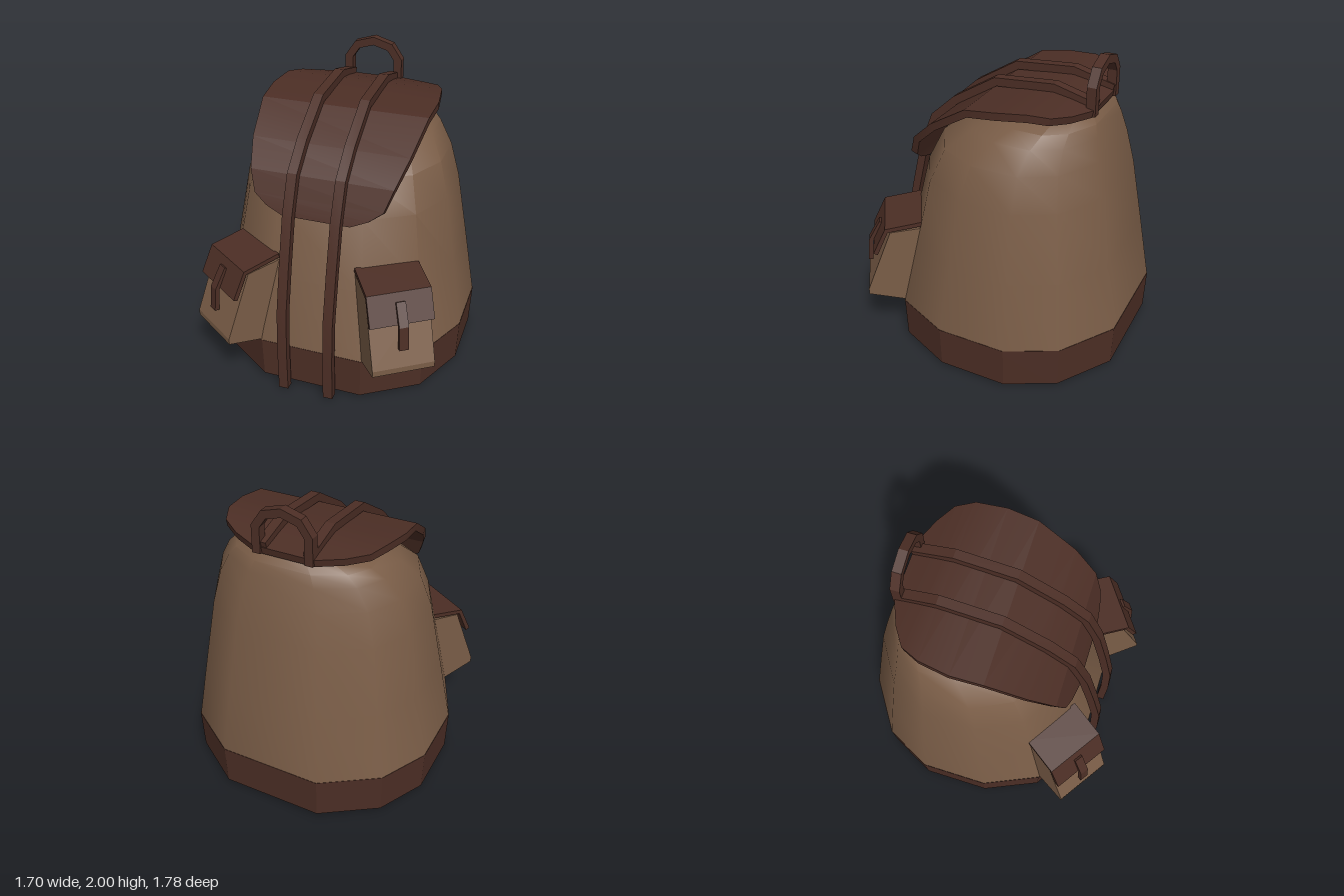
import * as THREE from 'three';
import { toCreasedNormals } from 'three/addons/utils/BufferGeometryUtils.js';

const canvas = new THREE.MeshStandardMaterial({ color: 0x7a5d47 });
canvas.name = 'tan canvas';
const leather = new THREE.MeshStandardMaterial({ color: 0x4c2e25 });
leather.name = 'dark leather';

// Joins equal-length rings (clockwise seen from the last one) and caps both ends
function loft(rings, crease = 0.3) {
  const n = rings[0].length, last = (rings.length - 1) * n, index = [];
  for (let i = 0; i < rings.length - 1; i++) {
    for (let j = 0; j < n; j++) {
      const k = (j + 1) % n;
      const a = i * n + j, b = i * n + k, c = b + n, d = a + n;
      index.push(a, d, c, a, c, b);
    }
  }
  for (let j = 1; j < n - 1; j++) {
    index.push(0, j, j + 1, last, last + j + 1, last + j);
  }
  const geo = new THREE.BufferGeometry();
  geo.setAttribute('position', new THREE.Float32BufferAttribute(rings.flat(2), 3));
  geo.setIndex(index);
  return toCreasedNormals(geo, crease);
}

// Thick band lying on a path of [z, y, half width] points
function ribbon(path, thick, half, crease) {
  const rings = path.map(([z, y, w = half], i) => {
    const p = path[Math.max(i - 1, 0)], q = path[Math.min(i + 1, path.length - 1)];
    const dz = q[0] - p[0], dy = q[1] - p[1], s = thick / Math.hypot(dz, dy);
    const tz = z - dy * s, ty = y + dz * s;
    return [[-w, ty, tz], [w, ty, tz], [w, y, z], [-w, y, z]];
  });
  return loft(rings, crease);
}

// Twelve-sided outline of the bag at one height
const HALF = [[0.4, -1], [0.81, -0.71], [1, -0.32], [1, 0.25], [0.81, 0.71], [0.4, 1]];
const OUTLINE = [...HALF, ...HALF.map(([x, z]) => [-x, z]).reverse()];
function bagRing([y, halfX, front, back]) {
  const mid = (front + back) / 2, r = (front - back) / 2;
  return OUTLINE.map(([x, z]) => [x * halfX, y, mid + z * r]);
}

function add(parent, name, geometry, material) {
  const mesh = new THREE.Mesh(geometry, material);
  mesh.name = name;
  parent.add(mesh);
  return mesh;
}

function makePocket(side) {
  const pocket = new THREE.Group();
  pocket.name = side > 0 ? 'leftPocket' : 'rightPocket';
  pocket.rotation.y = side * 0.595;
  const inner = new THREE.Group();
  inner.name = 'pocketParts';
  inner.position.x = side * 0.1;
  pocket.add(inner);
  // Side profile [z, y] swept across the width
  const profile = [[1.0, 0.37], [1.0, 0.41], [0.83, 0.84], [0.5, 0.87], [0.5, 0.3], [0.75, 0.3]];
  const rings = [-0.2, 0.2].map((x) => profile.map(([z, y]) => [x, y, z]));
  add(inner, 'pocketPouch', loft(rings), canvas);
  add(inner, 'pocketFlap', ribbon([[0.6, 0.88], [0.845, 0.845], [0.92, 0.68]], 0.03, 0.205), leather);
  add(inner, 'pocketStrap', ribbon([[0.875, 0.81], [0.95, 0.68], [0.965, 0.53]], 0.03, 0.03), leather);
  return pocket;
}

export function createModel() {
  const bag = new THREE.Group();
  bag.name = 'backpack';

  // Leather base and tapering canvas body: [y, half width, front z, back z]
  add(bag, 'base', loft([[0.02, 0.84, 0.69, -0.89], [0.3, 0.85, 0.695, -0.9]].map(bagRing)), leather);
  const body = [
    [0.3, 0.848, 0.693, -0.898], [0.75, 0.77, 0.58, -0.825], [1.2, 0.69, 0.47, -0.75],
    [1.42, 0.625, 0.36, -0.7], [1.56, 0.535, 0.17, -0.665], [1.63, 0.46, 0.02, -0.645],
    [1.68, 0.32, -0.15, -0.6],
  ];
  add(bag, 'body', loft(body.map(bagRing), 0.6), canvas);

  // Lid flap, narrow at both ends: [z, y, half width]
  const lid = [
    [-0.62, 1.675, 0.2], [-0.55, 1.69, 0.36], [-0.47, 1.71, 0.48], [-0.36, 1.73, 0.535],
    [-0.17, 1.715, 0.562], [0.02, 1.69, 0.55], [0.27, 1.535, 0.51], [0.42, 1.4, 0.46],
    [0.47, 1.28, 0.415], [0.495, 1.22, 0.33], [0.51, 1.175, 0.22],
  ];
  add(bag, 'lidFlap', ribbon(lid, 0.048, 0.5, 0.4), leather);

  // Two long straps over the lid and down the front
  const strapPath = [
    [-0.62, 1.705], [-0.36, 1.775], [0.02, 1.745], [0.3, 1.57], [0.455, 1.43],
    [0.55, 1.2], [0.63, 0.88], [0.695, 0.58], [0.713, 0.3], [0.713, 0.003],
  ];
  for (const x of [-0.167, 0.142]) {
    add(bag, 'longStrap', ribbon(strapPath, 0.055, 0.032), leather).position.x = x;
  }

  // Carrying handle arch behind the lid
  const arch = [
    [-0.145, 1.68], [-0.145, 1.85], [-0.1, 1.915], [0, 1.945],
    [0.1, 1.915], [0.145, 1.85], [0.145, 1.68],
  ];
  const handle = add(bag, 'handle', ribbon(arch, 0.055, 0.03), leather);
  handle.rotation.y = Math.PI / 2;
  handle.position.z = -0.61;

  for (const side of [1, -1]) bag.add(makePocket(side));
  return bag;
}
